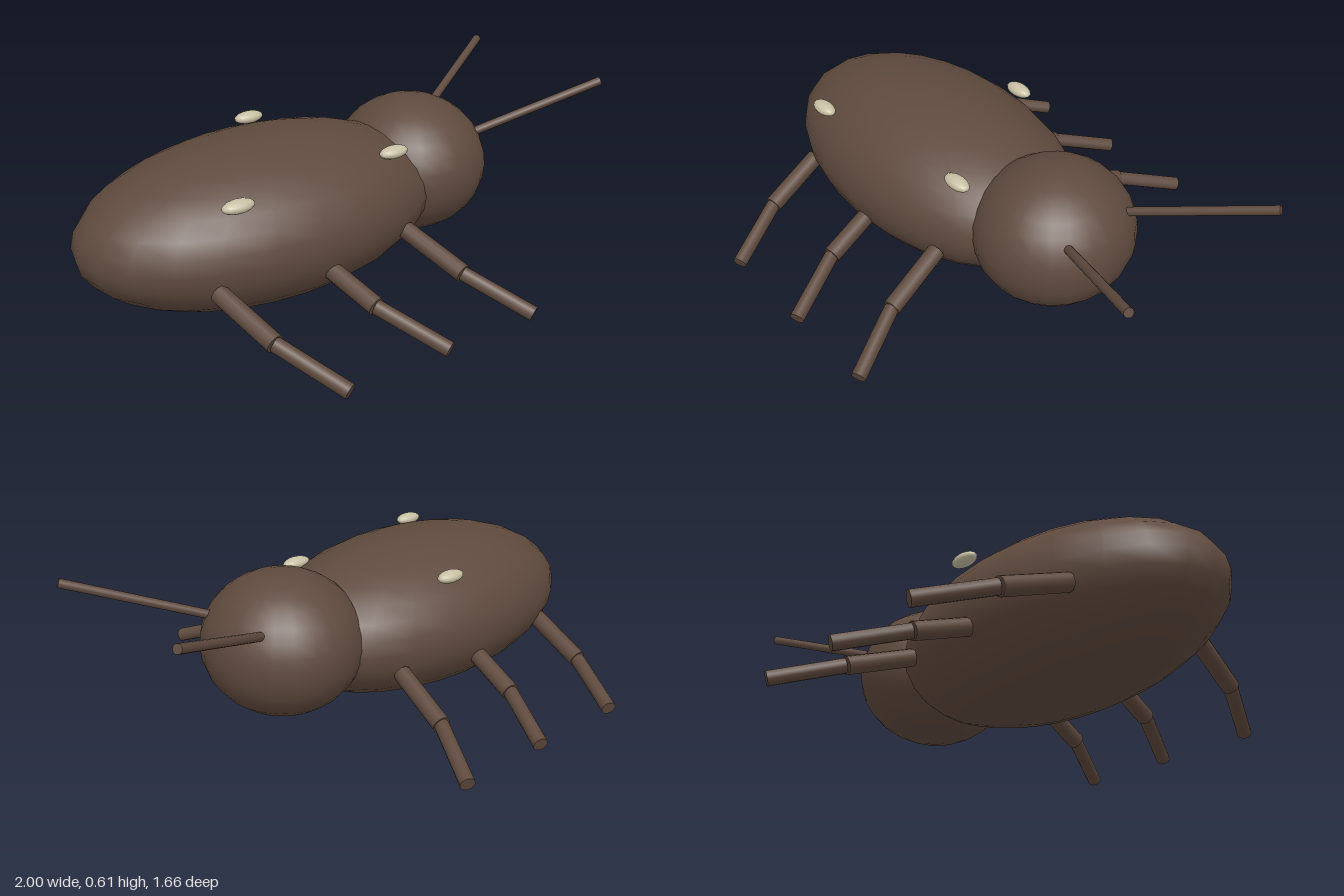
import * as THREE from 'three';

const brown = new THREE.MeshStandardMaterial({ color: 0x5f4a3e });
brown.name = 'shell brown';
const cream = new THREE.MeshStandardMaterial({ color: 0xc8c0a4 });
cream.name = 'spot cream';

// Heading of the insect, turned slightly from the x axis
const HEADING = -0.114;

function ellipsoid(name, centre, radii, material, segments = 24) {
  const mesh = new THREE.Mesh(new THREE.SphereGeometry(1, segments, Math.round(segments * 2 / 3)), material);
  mesh.name = name;
  mesh.position.set(...centre);
  mesh.scale.set(...radii);
  mesh.rotation.y = HEADING;
  return mesh;
}

// Tapering rod between two points
function rod(name, from, to, r0, r1) {
  const a = new THREE.Vector3(...from);
  const b = new THREE.Vector3(...to);
  const dir = b.clone().sub(a);
  const mesh = new THREE.Mesh(new THREE.CylinderGeometry(r1, r0, dir.length(), 12), brown);
  mesh.name = name;
  mesh.position.copy(a).add(b).multiplyScalar(0.5);
  mesh.quaternion.setFromUnitVectors(new THREE.Vector3(0, 1, 0), dir.normalize());
  return mesh;
}

export function createModel() {
  const model = new THREE.Group();
  model.name = 'beetle';

  model.add(ellipsoid('body', [-0.32, 0.29, -0.02], [0.684, 0.282, 0.395], brown));
  model.add(ellipsoid('head', [0.32, 0.32, 0.045], [0.282, 0.254, 0.29], brown));

  // Pale spots on the back
  [[0.05, 0.484, 0.24], [-0.62, 0.493, 0.255], [-0.16, 0.508, -0.307]].forEach((p) => {
    model.add(ellipsoid('spot', p, [0.057, 0.022, 0.031], cream, 16));
  });

  // Antennae
  model.add(rod('leftAntenna', [0.51, 0.43, -0.065], [0.99, 0.6, -0.232], 0.016, 0.016));
  model.add(rod('rightAntenna', [0.48, 0.42, 0.185], [0.917, 0.6, 0.447], 0.016, 0.016));

  // Legs: hip, knee and foot of each
  const legs = [
    [[-0.71, 0.225, 0.26], [-0.68, 0.145, 0.5], [-0.59, 0.06, 0.737]],
    [[-0.325, 0.215, 0.29], [-0.3, 0.14, 0.535], [-0.21, 0.06, 0.777]],
    [[0.03, 0.225, 0.33], [0.06, 0.145, 0.575], [0.15, 0.06, 0.812]],
    [[-0.65, 0.215, -0.37], [-0.575, 0.135, -0.6], [-0.435, 0.06, -0.817]],
    [[-0.26, 0.215, -0.33], [-0.185, 0.135, -0.565], [-0.055, 0.06, -0.777]],
    [[0.09, 0.22, -0.3], [0.165, 0.135, -0.53], [0.305, 0.06, -0.742]],
  ];
  for (const [hip, knee, foot] of legs) {
    const leg = new THREE.Group();
    leg.name = 'leg';
    leg.add(rod('upperLeg', hip, knee, 0.032, 0.032));
    leg.add(rod('lowerLeg', knee, foot, 0.026, 0.026));
    model.add(leg);
  }
  return model;
}
